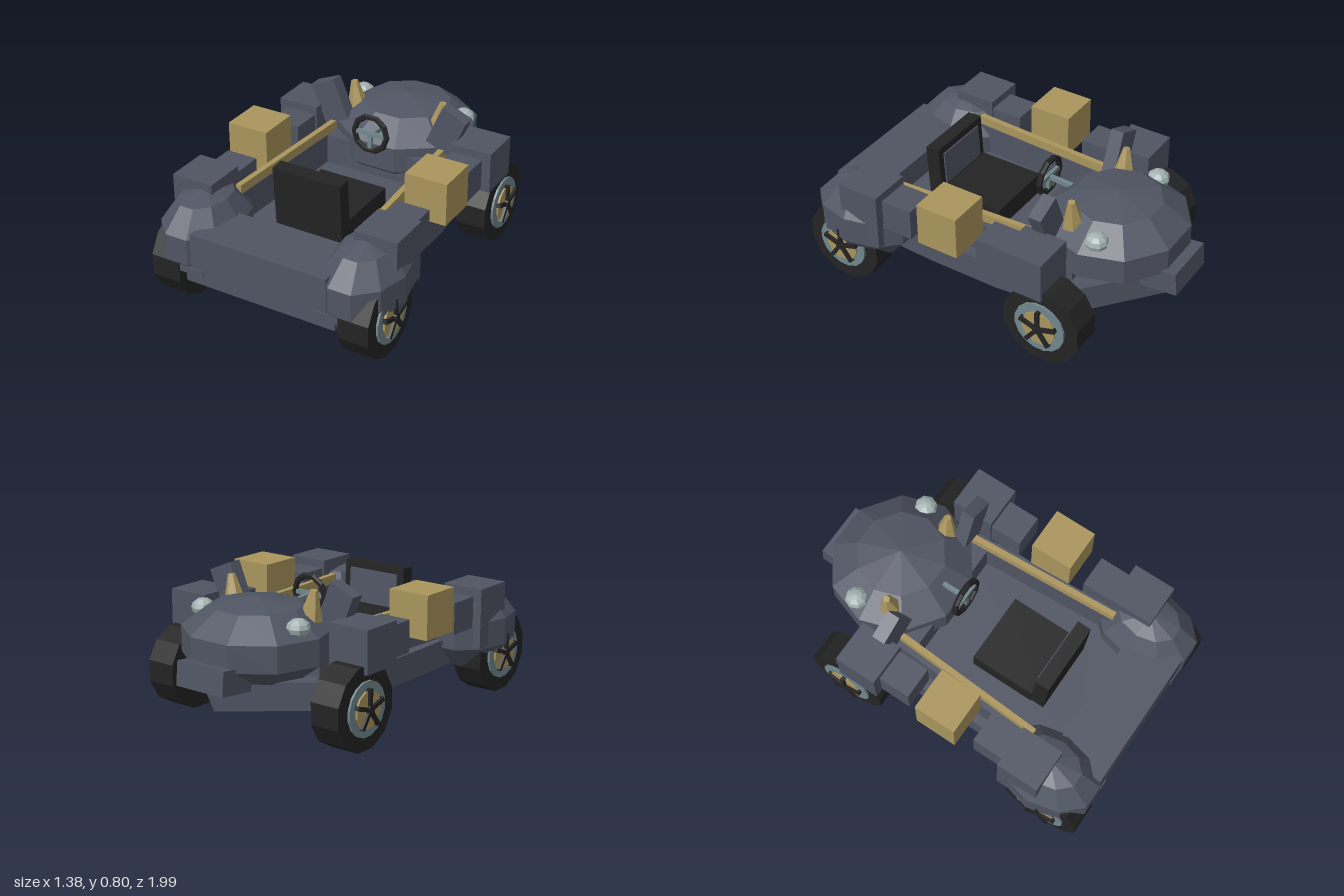
import * as THREE from 'three';

const mat = (name, color) => {
  const m = new THREE.MeshStandardMaterial({ color });
  m.name = name;
  m.flatShading = true;
  return m;
};

export function createModel() {
  const root = new THREE.Group();
  root.name = 'kart';
  const body = mat('slate body', 0x505563);
  const black = mat('black rubber', 0x232323);
  const gold = mat('gold', 0xaa955c);
  const steel = mat('blue steel', 0x70868c);
  const pale = mat('pale glass', 0xa3b2b2);

  const add = (name, geo, material, x = 0, y = 0, z = 0, parent = root) => {
    const m = new THREE.Mesh(geo, material);
    m.name = name;
    m.position.set(x, y, z);
    parent.add(m);
    return m;
  };
  // Box given by its extents along each axis
  const box = (name, material, x0, x1, y0, y1, z0, z1, parent = root) =>
    add(name, new THREE.BoxGeometry(Math.abs(x1 - x0), y1 - y0, z1 - z0), material,
      (x0 + x1) / 2, (y0 + y1) / 2, (z0 + z1) / 2, parent);
  // Faceted ellipsoid
  const dome = (name, material, rx, ry, rz, x, y, z, seg = 10, rows = 5) =>
    add(name, new THREE.SphereGeometry(1, seg, rows).scale(rx, ry, rz), material, x, y, z);

  // Chassis slab, pointed at the back
  const plan = new THREE.Shape([[-0.44, -0.97], [0.44, -0.97], [0.47, -0.3], [0.47, 0.1],
    [0.43, 0.54], [0, 0.89], [-0.43, 0.54], [-0.47, 0.1], [-0.47, -0.3]]
    .map(([x, y]) => new THREE.Vector2(x, y)));
  const slab = new THREE.ExtrudeGeometry(plan, { depth: 0.15, bevelEnabled: false });
  slab.rotateX(-Math.PI / 2);
  add('chassis', slab, body, 0, 0.18, 0);

  // Deck and bulkhead closing the cockpit
  box('frontDeck', body, -0.4, 0.4, 0.23, 0.47, 0.68, 0.98);
  box('bulkhead', body, -0.36, 0.36, 0.32, 0.5, -0.5, -0.22);

  // Bonnet dome and the stub behind it
  dome('bonnet', body, 0.42, 0.23, 0.41, 0, 0.48, -0.55);
  const stub = box('tailStub', body, -0.155, 0.155, 0.3, 0.43, -0.99, -0.78);
  stub.rotation.x = 0.1;

  // Seat
  box('seatCushion', black, -0.2, 0.2, 0.33, 0.45, 0.05, 0.42);
  const back = new THREE.Group();
  back.name = 'seatBack';
  back.position.set(0, 0.4, 0.44);
  back.rotation.x = 0.06;
  root.add(back);
  box('seatBackShell', black, -0.2, 0.2, -0.05, 0.29, -0.02, 0.06, back);
  box('seatBackPad', body, -0.16, 0.16, 0.06, 0.25, -0.028, -0.018, back);

  // Steering wheel
  const steering = new THREE.Group();
  steering.name = 'steeringWheel';
  steering.position.set(0, 0.635, -0.135);
  steering.rotation.x = -0.06;
  root.add(steering);
  add('steeringRim', new THREE.TorusGeometry(0.1, 0.017, 6, 10), black, 0, 0, 0, steering);
  box('steeringCrossbar', steel, -0.09, 0.09, -0.012, 0.012, -0.01, 0.008, steering);
  box('steeringSpoke', steel, -0.012, 0.012, -0.09, 0, -0.01, 0.008, steering);
  box('steeringColumn', steel, -0.012, 0.012, -0.02, 0.005, -0.2, 0, steering);

  // Wheel with its detailed face on the outer side (s = +1 left, -1 right)
  const wheel = (name, s, z) => {
    const g = new THREE.Group();
    g.name = name;
    g.position.set(s * 0.555, 0.222, z);
    if (s < 0) g.rotation.y = Math.PI;
    root.add(g);
    const disc = (part, r, x0, x1, n, m) => {
      const c = new THREE.CylinderGeometry(r, r, x1 - x0, n);
      c.rotateY(Math.PI / n).rotateZ(Math.PI / 2);
      add(part, c, m, (x0 + x1) / 2, 0, 0, g);
    };
    disc('tyre', 0.227, -0.085, 0.085, 12, black);
    disc('rim', 0.147, 0.06, 0.097, 16, steel);
    disc('hubPlate', 0.1, 0.08, 0.107, 12, gold);
    disc('hub', 0.025, 0.09, 0.125, 8, black);
    for (let i = 0; i < 5; i++) {
      const spoke = new THREE.BoxGeometry(0.025, 0.11, 0.022);
      spoke.translate(0.11, 0.055, 0).rotateX(i * Math.PI * 2 / 5);
      add('spoke', spoke, black, 0, 0, 0, g);
    }
  };

  for (const [side, s] of [['left', 1], ['right', -1]]) {
    wheel(side + 'FrontWheel', s, 0.77);
    wheel(side + 'RearWheel', s, -0.485);

    // Cockpit wall with a gold rail on top, splayed toward the front
    const wall = box(side + 'CockpitWall', body, s * 0.345, s * 0.41, 0.32, 0.5, -0.4, 0.64);
    wall.rotation.y = s * 0.055;
    const rail = box(side + 'Rail', gold, s * 0.347, s * 0.379, 0.5, 0.55, -0.35, 0.56);
    rail.rotation.y = s * 0.055;

    // Front fender and bumper plate
    dome(side + 'FrontFender', body, 0.22, 0.24, 0.305, s * 0.48, 0.36, 0.715);
    box(side + 'BumperPlate', body, s * 0.325, s * 0.51, 0.235, 0.275, 0.85, 0.985);

    // Blocks along the side
    box(side + 'FrontBlock', body, s * 0.42, s * 0.66, 0.3, 0.63, 0.51, 0.75);
    box(side + 'FrontSmallBlock', body, s * 0.43, s * 0.61, 0.41, 0.585, 0.33, 0.51);
    box(side + 'GoldBlock', gold, s * 0.42, s * 0.66, 0.46, 0.7, 0.005, 0.245);
    box(side + 'RearSmallBlock', body, s * 0.43, s * 0.61, 0.41, 0.585, -0.26, -0.08);
    box(side + 'RearBlock', body, s * 0.42, s * 0.66, 0.4, 0.63, -0.5, -0.26);

    // Ear plate, horn and lamp
    const ear = add(side + 'Ear', new THREE.BoxGeometry(0.155, 0.24, 0.075), body,
      s * 0.364, 0.66, -0.348);
    ear.rotation.z = -s * 0.4;
    const horn = add(side + 'Horn', new THREE.CylinderGeometry(0.02, 0.062, 0.16, 6), gold,
      s * 0.267, 0.68, -0.44);
    horn.rotation.z = -s * 0.15;
    dome(side + 'Lamp', pale, 0.063, 0.048, 0.063, s * 0.32, 0.61, -0.615, 8, 6);
  }
  return root;
}
